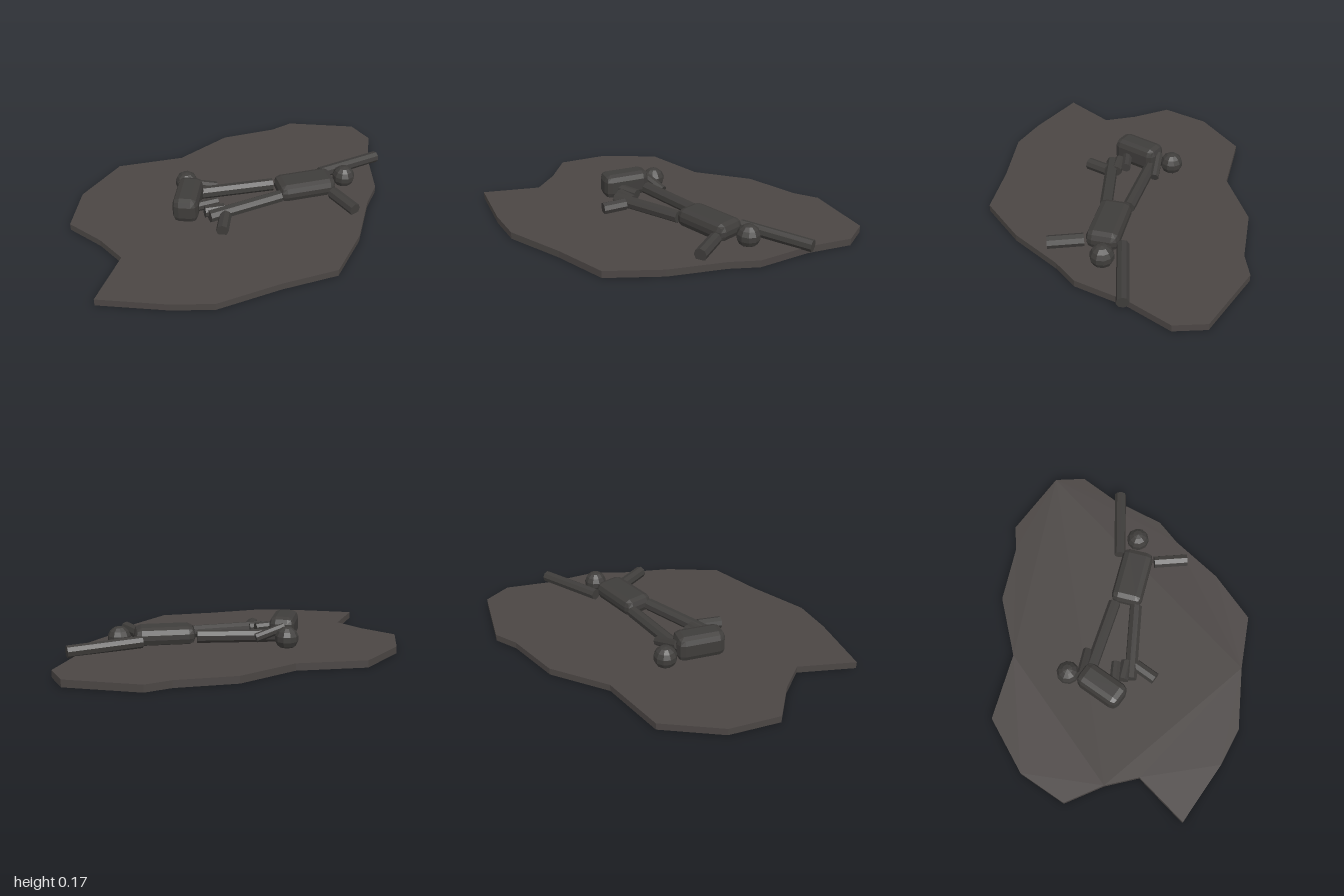
import * as THREE from 'three';
import { RoundedBoxGeometry } from 'three/addons/geometries/RoundedBoxGeometry.js';

export function createModel() {
  const group = new THREE.Group();
  const flat = (name, color) => {
    const m = new THREE.MeshStandardMaterial({ color, flatShading: true });
    m.name = name;
    return m;
  };
  const ground = flat('ashBrown', 0x4b4644);
  const charred = flat('charredGrey', 0x3f3d3b);

  const add = (name, geometry, material, x = 0, y = 0, z = 0) => {
    const mesh = new THREE.Mesh(geometry, material);
    mesh.name = name;
    mesh.position.set(x, y, z);
    group.add(mesh);
    return mesh;
  };

  // Irregular ground slab, outline as x, z
  const outline = [
    [-1, 0.15], [-0.75, -0.02], [-0.76, -0.2], [-0.81, -0.41], [-0.63, -0.6],
    [-0.33, -0.71], [-0.01, -0.56], [0.32, -0.58], [0.6, -0.47], [0.735, -0.457],
    [1, -0.19], [0.98, -0.03], [0.805, 0.126], [0.63, 0.345], [0.495, 0.414],
    [0.255, 0.586], [-0.01, 0.705], [-0.28, 0.607], [-0.596, 0.52], [-0.757, 0.393],
  ];
  const shape = new THREE.Shape(outline.map(([x, z]) => new THREE.Vector2(x, -z)));
  const slab = new THREE.ExtrudeGeometry(shape, { depth: 0.036, bevelEnabled: false });
  slab.rotateX(-Math.PI / 2);
  add('groundSlab', slab, ground);

  // Chamfered torso block turned about y
  const torso = (name, size, at, turn) => {
    const mesh = add(name, new RoundedBoxGeometry(...size, 1, 0.035), charred, ...at);
    mesh.rotation.y = turn;
  };

  // Six-sided limb between two points
  const limb = (name, from, to, radius = 0.031) => {
    const a = new THREE.Vector3(...from);
    const b = new THREE.Vector3(...to);
    const dir = b.clone().sub(a);
    const mesh = add(name, new THREE.CylinderGeometry(radius, radius, dir.length(), 8), charred);
    mesh.position.copy(a).add(b).multiplyScalar(0.5);
    mesh.quaternion.setFromUnitVectors(new THREE.Vector3(0, 1, 0), dir.normalize());
  };

  const head = (name, x, y, z) => add(name, new THREE.SphereGeometry(0.06, 10, 7), charred, x, y, z);

  // Sprawled figure
  torso('sprawledTorso', [0.31, 0.095, 0.165], [0.305, 0.079, 0.13], -0.42);
  head('sprawledHead', 0.527, 0.077, 0.2);
  limb('sprawledLeftArm', [0.457, 0.068, 0.088], [0.83, 0.057, 0.155]);
  limb('sprawledRightArm', [0.382, 0.065, 0.265], [0.367, 0.061, 0.443], 0.033);
  limb('sprawledLeftLeg', [0.18, 0.073, 0.012], [-0.18, 0.07, -0.18], 0.033);
  limb('sprawledRightLeg', [0.14, 0.073, 0.12], [-0.25, 0.068, 0.022], 0.033);

  // Curled figure
  torso('curledTorso', [0.25, 0.133, 0.13], [-0.272, 0.101, -0.13], 0.78);
  head('curledHead', -0.166, 0.08, -0.29);
  limb('curledUpperArm', [-0.2, 0.12, -0.225], [-0.06, 0.07, -0.172], 0.024);
  limb('curledLowerArm', [-0.3, 0.09, -0.075], [-0.155, 0.085, -0.035], 0.026);
  limb('curledThigh', [-0.25, 0.075, -0.02], [-0.155, 0.07, 0.02], 0.031);
  limb('curledShin', [-0.18, 0.065, 0.062], [-0.268, 0.06, 0.148], 0.032);

  return group;
}
